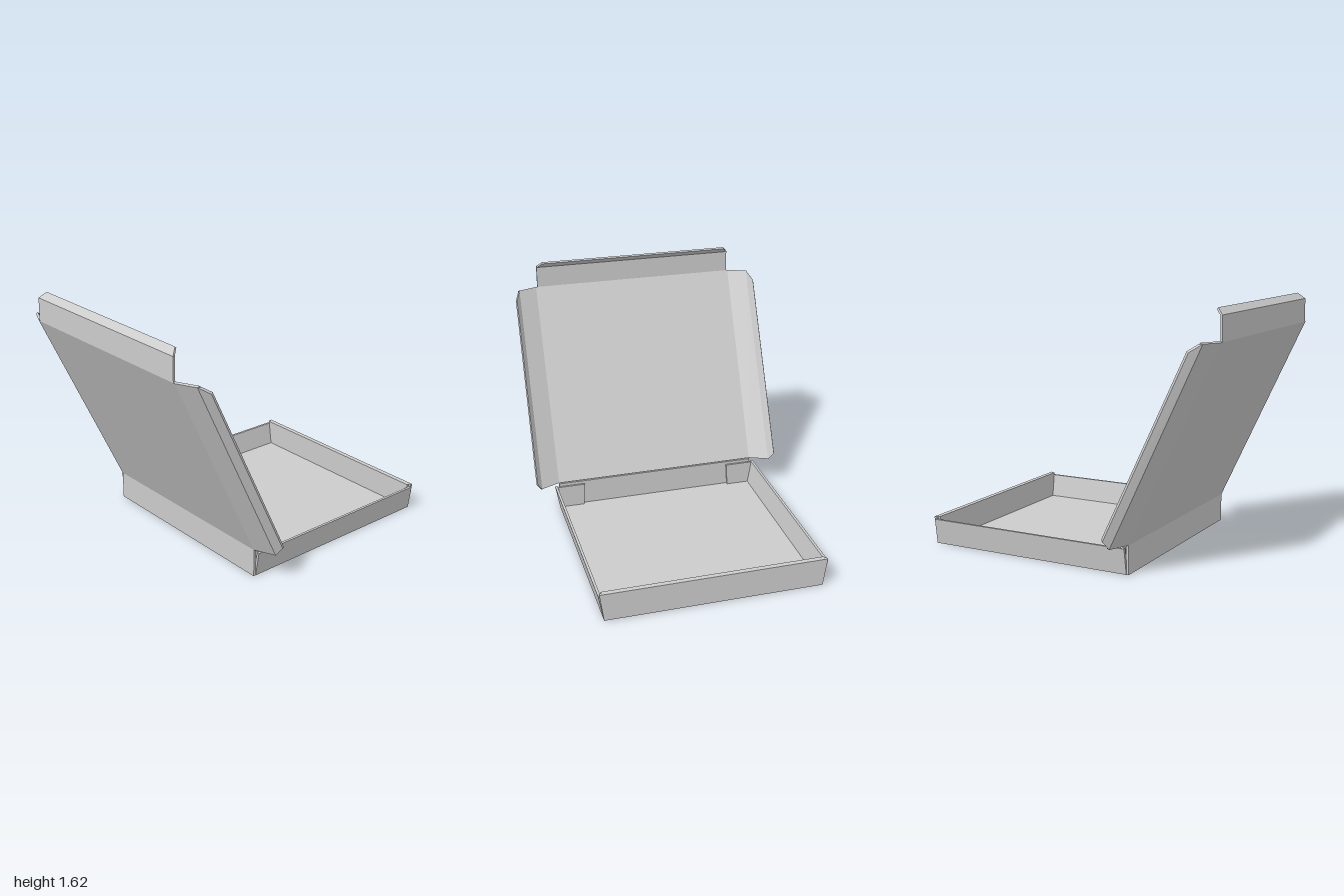
import * as THREE from 'three';
import { ConvexGeometry } from 'three/addons/geometries/ConvexGeometry.js';

const T = 0.017; // cardboard thickness

export function createModel() {
  const box = new THREE.Group();
  box.name = 'openCardboardBox';
  const card = new THREE.MeshStandardMaterial({ color: 0xcccccc, flatShading: true });

  // A flat convex board: outline corners, thickened along an offset vector
  function board(parent, name, corners, offset) {
    const off = new THREE.Vector3(...offset);
    const face = corners.map(c => new THREE.Vector3(...c));
    const back = face.map(p => p.clone().add(off));
    const mesh = new THREE.Mesh(new ConvexGeometry([...face, ...back]), card);
    mesh.name = name;
    parent.add(mesh);
  }
  // The same board on the left and right
  function boardPair(parent, name, corners, offset) {
    for (const [side, s] of [['left', 1], ['right', -1]]) {
      board(parent, side + name, corners.map(([x, y, z]) => [s * x, y, z]),
        [s * offset[0], offset[1], offset[2]]);
    }
  }
  // Board symmetric in x, from rows of [half width, y, z]
  const rows = (a, b) => [[-a[0], a[1], a[2]], [a[0], a[1], a[2]], [b[0], b[1], b[2]], [-b[0], b[1], b[2]]];

  // Tray
  const tray = new THREE.Group();
  tray.name = 'tray';
  box.add(tray);
  board(tray, 'floor', rows([0.70, 0, 0.42], [0.70, 0, -0.995]), [0, 0.012, 0]);
  board(tray, 'hingeWall', rows([0.70, 0, 0.42], [0.70, 0.185, 0.42]), [0, 0, -T]);
  boardPair(tray, 'Wall',
    [[0.70, 0, 0.405], [0.73, 0.168, 0.405], [0.73, 0.168, -0.99], [0.70, 0, -0.99]], [-T, 0, 0]);
  // Outer back wall and the layer folded down inside it
  board(tray, 'backWall', rows([0.70, 0, -1], [0.725, 0.185, -1]), [0, 0, T]);
  board(tray, 'backWallLining', rows([0.685, 0.012, -1 + T], [0.71, 0.185, -1 + T]), [0, 0, T]);
  // Corner tabs glued behind the hinge wall
  boardPair(tray, 'CornerTab',
    [[0.69, 0.012, 0.395], [0.71, 0.168, 0.395], [0.52, 0.168, 0.395], [0.53, 0.012, 0.395]], [0, 0, -0.013]);

  // Lid, leaning forward from the hinge
  const lid = new THREE.Group();
  lid.name = 'lid';
  box.add(lid);
  const inward = [0, 0.42 * T, -0.906 * T];
  board(lid, 'lidPanel', rows([0.70, 0.185, 0.42], [0.70, 1.43, 1.0]), inward);
  // Side flaps bend inward in two folds, the outer strip with clipped corners
  boardPair(lid, 'InnerFlap',
    [[0.70, 0.185, 0.42], [0.70, 1.43, 1.0], [0.83, 1.432, 0.945], [0.835, 0.185, 0.362]], inward);
  boardPair(lid, 'OuterFlap',
    [[0.835, 0.185, 0.362], [0.83, 1.432, 0.945], [0.86, 1.385, 0.873], [0.868, 0.238, 0.335]],
    [-0.4 * T, 0.38 * T, -0.83 * T]);
  // Tuck flap with its folded lip
  board(lid, 'tuckFlap', rows([0.69, 1.43, 1.0], [0.69, 1.582, 0.998]), [0, 0, -0.013]);
  board(lid, 'tuckLip', rows([0.69, 1.582, 0.998], [0.655, 1.62, 0.957]), [0, -0.009, -0.009]);

  return box;
}
